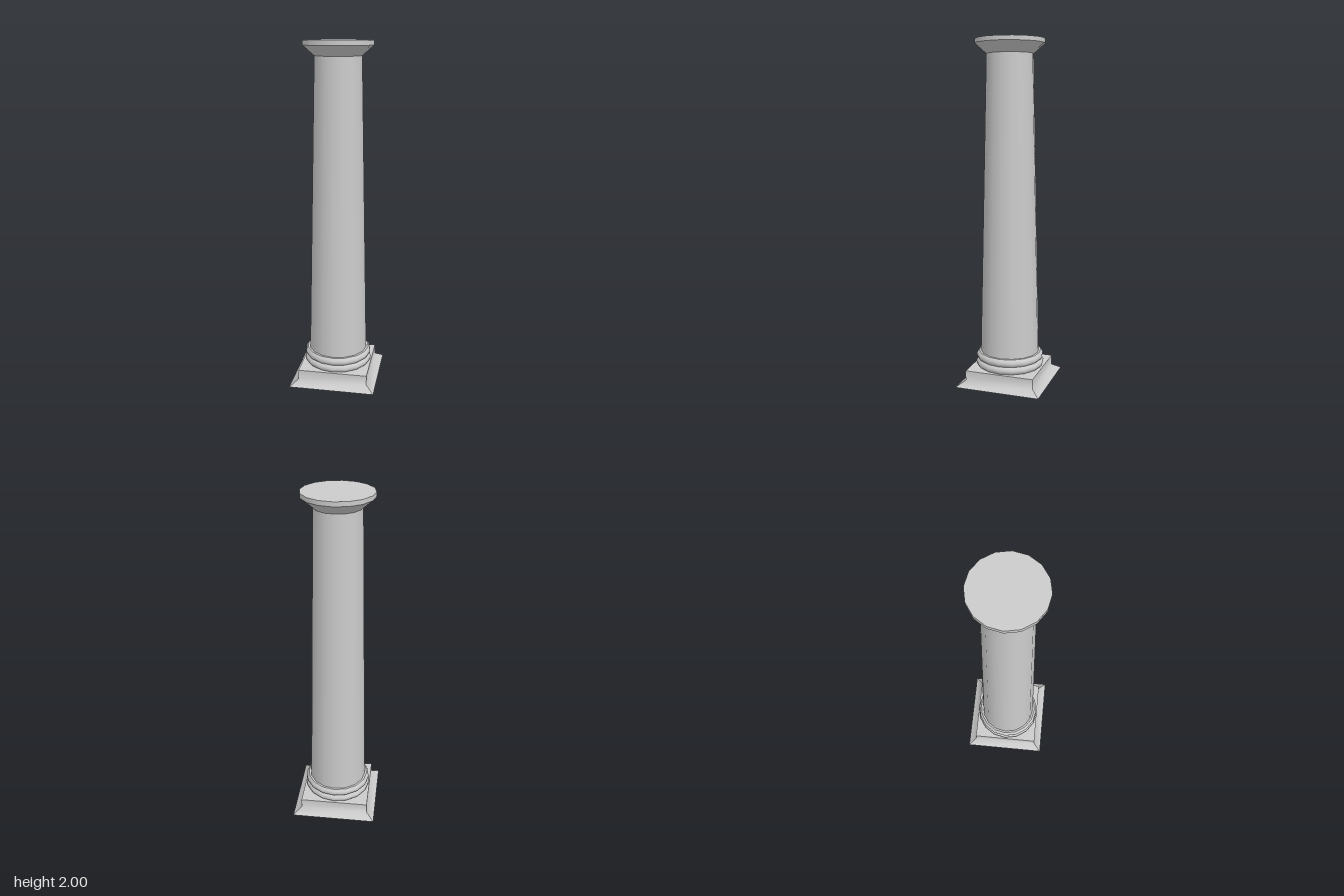
import * as THREE from 'three';

const SIDES = 16;
const material = new THREE.MeshStandardMaterial({ color: 0xcccccc, side: THREE.DoubleSide });

// Turned part from [radius, height] points, listed from bottom to top
function turned(name, points) {
  const profile = points.map(([r, y]) => new THREE.Vector2(r, y));
  const mesh = new THREE.Mesh(new THREE.LatheGeometry(profile, SIDES), material);
  mesh.name = name;
  return mesh;
}

// One side of the plinth: a sheet following [distance, height] points from top to bottom
function plinthSide(profile) {
  const geometry = new THREE.PlaneGeometry(2, 2, 1, profile.length - 1);
  const pos = geometry.attributes.position;
  for (let i = 0; i < pos.count; i++) {
    const [d, y] = profile[Math.floor(i / 2)];
    pos.setXYZ(i, Math.sign(pos.getX(i)) * d, y, d);
  }
  geometry.computeVertexNormals();
  return geometry;
}

export function createModel() {
  const column = new THREE.Group();
  column.name = 'column';

  // Square plinth with a flared skirt, open underneath
  const plinth = new THREE.Group();
  plinth.name = 'plinth';
  const side = plinthSide([[0.205, 0.09], [0.205, 0.033], [0.252, 0]]);
  for (let i = 0; i < 4; i++) {
    const mesh = new THREE.Mesh(side, material);
    mesh.name = 'plinthSide';
    mesh.rotation.y = i * Math.PI / 2;
    plinth.add(mesh);
  }
  const top = new THREE.Mesh(new THREE.PlaneGeometry(0.41, 0.41), material);
  top.name = 'plinthTop';
  top.rotation.x = -Math.PI / 2;
  top.position.y = 0.09;
  plinth.add(top);
  column.add(plinth);

  // Base moulding: two rounded rings with a flat ledge on top
  const base = new THREE.Group();
  base.name = 'baseMoulding';
  base.add(
    turned('lowerRing', [[0.191, 0.09], [0.2, 0.1], [0.203, 0.113], [0.197, 0.125], [0.188, 0.133]]),
    turned('upperRing', [[0.188, 0.133], [0.197, 0.142], [0.2, 0.155], [0.196, 0.167], [0.186, 0.178]]),
    turned('baseLedge', [[0.186, 0.178], [0.17, 0.178]]),
  );
  column.add(base);

  // Tapering shaft
  column.add(turned('shaft', [[0.174, 0.178], [0.134, 1.92]]));

  // Capital: flaring underside, upright rim and flat top
  const capital = new THREE.Group();
  capital.name = 'capital';
  capital.add(
    turned('capitalFlare', [[0.134, 1.918], [0.2, 1.975]]),
    turned('capitalRim', [[0.2, 1.975], [0.2, 2]]),
    turned('capitalTop', [[0.2, 2], [0, 2]]),
  );
  column.add(capital);

  return column;
}
